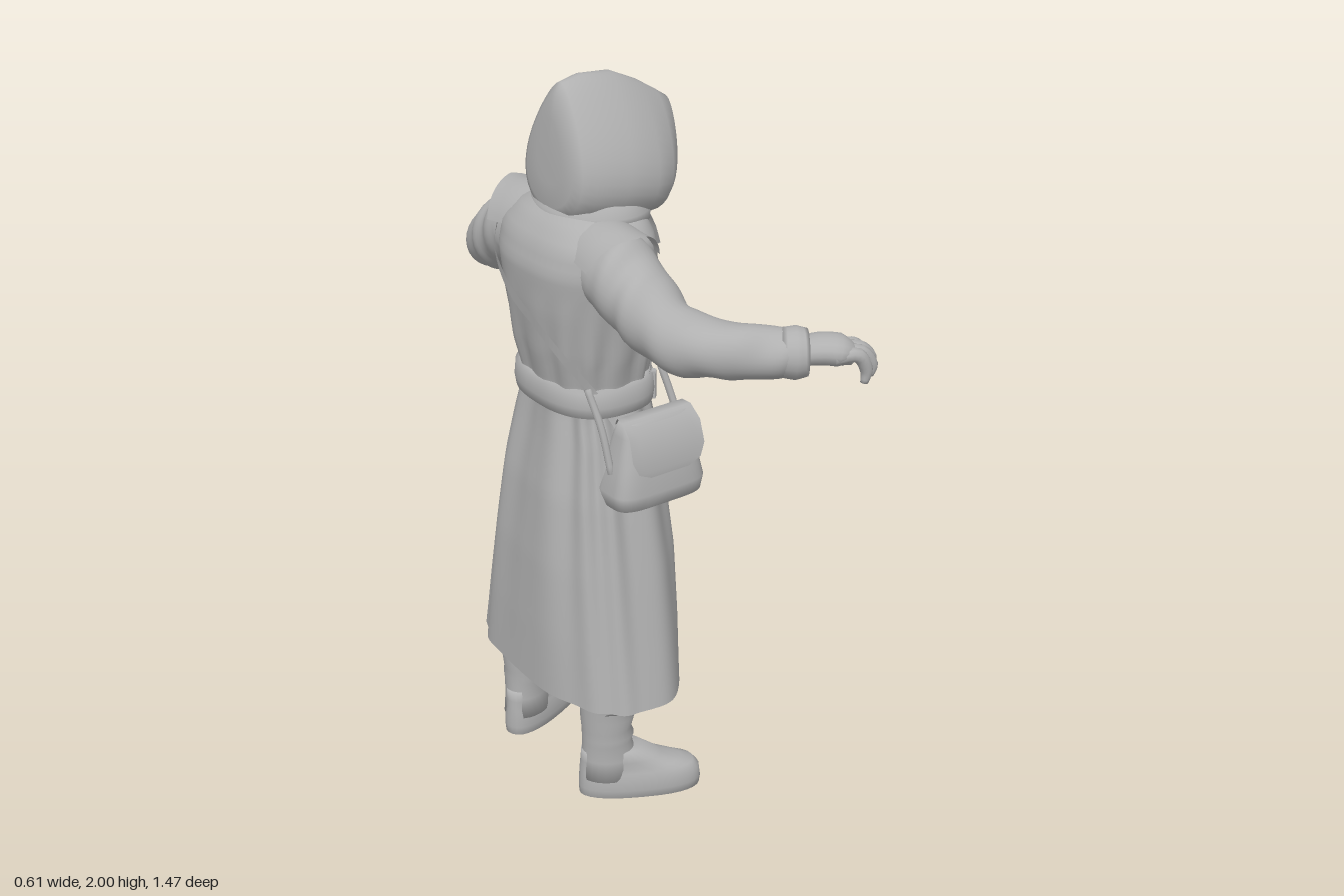
import * as THREE from 'three';

const cloth = new THREE.MeshStandardMaterial({ color: 0xb0b0b0, side: THREE.DoubleSide });
cloth.name = 'plain grey';
const TAU = Math.PI * 2;
const V = (p) => new THREE.Vector3(...p);
const lerp = THREE.MathUtils.lerp;

// Skin a list of rings (equal length lists of points) into a smooth surface
function loft(name, rings, closed = true, caps = closed) {
  const n = rings[0].length, pos = rings.flat(2), idx = [];
  const m = closed ? n : n - 1;
  for (let i = 0; i < rings.length - 1; i++) for (let j = 0; j < m; j++) {
    const a = i * n + j, b = i * n + (j + 1) % n;
    idx.push(a, a + n, b, b, a + n, b + n);
  }
  if (caps) [[0, 1], [rings.length - 1, -1]].forEach(([r, s]) => {
    const c = pos.length / 3, o = r * n;
    for (let k = 0; k < 3; k++) pos.push(rings[r].reduce((t, p) => t + p[k], 0) / n);
    for (let j = 0; j < n; j++) {
      const a = o + j, b = o + (j + 1) % n;
      s > 0 ? idx.push(c, a, b) : idx.push(c, b, a);
    }
  });
  const g = new THREE.BufferGeometry();
  g.setAttribute('position', new THREE.Float32BufferAttribute(pos, 3));
  g.setIndex(idx);
  g.computeVertexNormals();
  return named(name, g);
}
function named(name, g) {
  const mesh = new THREE.Mesh(g, cloth);
  mesh.name = name;
  return mesh;
}

// Interpolate rows of a table by its first column
function sample(table, y) {
  let i = 0;
  while (i < table.length - 2 && y > table[i + 1][0]) i++;
  const a = table[i], b = table[i + 1];
  const t = THREE.MathUtils.clamp((y - a[0]) / (b[0] - a[0]), 0, 1);
  return a.map((v, k) => lerp(v, b[k], t));
}

// Coat outline: height, back x, front x, half width
const coat = [
  [0.32, -0.3, 0.092, 0.348], [0.5, -0.295, 0.1, 0.315], [0.7, -0.285, 0.1, 0.28],
  [0.9, -0.265, 0.08, 0.243], [1.05, -0.24, 0.06, 0.208], [1.13, -0.23, 0.05, 0.182],
  [1.2, -0.23, 0.05, 0.175], [1.3, -0.252, 0.064, 0.193], [1.42, -0.27, 0.07, 0.21],
  [1.53, -0.278, 0.062, 0.228], [1.6, -0.258, 0.05, 0.23], [1.65, -0.22, 0.035, 0.18],
  [1.69, -0.16, 0.02, 0.1],
];
const sp = (v, e) => Math.sign(v) * Math.abs(v) ** e;
function surf(y, a, off = 0) {
  const [, x0, x1, hz] = sample(coat, y), e = 0.8;
  return [(x0 + x1) / 2 + ((x1 - x0) / 2 + off) * sp(Math.cos(a), e), y, (hz + off) * sp(Math.sin(a), e)];
}
const angleAt = (y, z) => Math.asin(THREE.MathUtils.clamp(sp(z / sample(coat, y)[3], 1.25), -1, 1));
const ring = (fn, n = 48) => Array.from({ length: n }, (_, j) => fn(j / n * TAU));

// Cloth plate lying on the coat front between two polylines of [z, y]
function plate(name, A, B, off = 0.012, n = 8) {
  const at = (L, t) => {
    const f = t * (L.length - 1), i = Math.min(Math.floor(f), L.length - 2);
    return [0, 1].map((k) => lerp(L[i][k], L[i + 1][k], f - i));
  };
  const rows = Array.from({ length: 17 }, (_, i) => Array.from({ length: n + 1 }, (_, j) => {
    const a = at(A, i / 16), b = at(B, i / 16);
    const z = lerp(a[0], b[0], j / n), y = lerp(a[1], b[1], j / n);
    return surf(y, angleAt(y, z), off);
  }));
  return loft(name, rows, false);
}

// Tube through [x, y, z, radius] points
function limb(name, pts, steps = 24, sides = 16, wrinkle = 0, flat = 1) {
  const curve = new THREE.CatmullRomCurve3(pts.map((p) => V(p.slice(0, 3))));
  const rings = Array.from({ length: steps + 1 }, (_, i) => {
    const t = i / steps, f = t * (pts.length - 1), k = Math.min(Math.floor(f), pts.length - 2);
    const c = curve.getPoint(t), d = curve.getTangent(t);
    const u = V(Math.abs(d.y) > 0.9 ? [1, 0, 0] : [0, 1, 0]).addScaledVector(d, Math.abs(d.y) > 0.9 ? -d.x : -d.y).normalize();
    const v = u.clone().cross(d);
    return ring((a) => {
      const fold = Math.sin(t * 38 + 2.5 * Math.sin(a + t * 5)) * (0.6 + 0.4 * Math.sin(2 * a + t * 13));
      const r = lerp(pts[k][3], pts[k + 1][3], f - k) * (1 + wrinkle * fold);
      return c.clone().addScaledVector(u, r * flat * Math.cos(a)).addScaledVector(v, r * Math.sin(a)).toArray();
    }, sides);
  });
  return loft(name, rings);
}

// Stack of horizontal ovals: [y, x0, x1, half width]
const ovals = (name, rows, n = 24) => loft(name, rows.map(([y, x0, x1, w]) =>
  ring((a) => [(x0 + x1) / 2 + (x1 - x0) / 2 * Math.cos(a), y, w * Math.sin(a)], n)));

function buildCoat(g) {
  // Bodice with soft gathers
  const rows = [];
  for (let i = 0; i <= 28; i++) {
    const y = 1.14 + 0.55 * i / 28;
    const k = 0.007 * Math.max(0, 1 - Math.abs(y - 1.28) / 0.2);
    rows.push(ring((a) => surf(y, a, k * Math.sin(a * 13 + Math.sin(y * 9))), 72));
  }
  g.add(loft('coatBody', rows));
  // Skirt, split at the front
  const skirt = [];
  for (let i = 0; i <= 32; i++) {
    const y = lerp(0.32, 1.16, i / 32), t = Math.max(0, (0.92 - y) / 0.6);
    const aL = angleAt(y, 0.05 + 0.05 * t), aR = angleAt(y, 0.05 - 0.11 * t);
    skirt.push(Array.from({ length: 121 }, (_, j) => {
      const s = j / 120, a = aL + (TAU - aL + aR) * s;
      const fold = Math.sin(a * 11 + 1.5 * Math.sin(a * 3)) * lerp(0.009, 0.004, t);
      const p = surf(y, a, fold - 0.003);
      p[1] -= 0.045 * Math.max(0, 1 - i / 8) * Math.max(0, 1 - Math.min(s, 1 - s) * 9);
      return p;
    }));
  }
  g.add(loft('coatSkirt', skirt, false));
  // Belt with buckle and loops
  g.add(loft('belt', [[1.135, 0], [1.137, 0.014], [1.165, 0.019], [1.205, 0.016], [1.21, 0]].map(([y, o]) => ring((a) => surf(y, a, o)))));
  const buckle = named('buckle', new THREE.TorusGeometry(0.03, 0.006, 6, 4).rotateZ(Math.PI / 4).rotateY(Math.PI / 2));
  buckle.position.set(0.07, 1.17, 0);
  g.add(buckle);
  for (const a of [0.75, -0.75, -1.2]) {
    const loop = named('beltLoop', new THREE.BoxGeometry(0.012, 0.078, 0.02));
    loop.position.set(...surf(1.17, a, 0.017));
    loop.rotation.y = -a;
    g.add(loop);
  }
  // Overlapping front edge, lapels and collar
  g.add(plate('coatOverlap', [[-0.1, 1.53], [-0.02, 1.38], [0.1, 1.2]], [[0.02, 1.6], [0.08, 1.4], [0.15, 1.2]], 0.008));
  g.add(plate('frontFacing', [[0.1, 1.14], [0.06, 0.92], [0.1, 0.29]], [[0.14, 1.14], [0.12, 0.92], [0.165, 0.3]], 0.008));
  g.add(plate('rightLapel', [[-0.03, 1.64], [-0.02, 1.52], [0.02, 1.36]], [[-0.09, 1.64], [-0.13, 1.52], [0.0, 1.36]], 0.015));
  g.add(plate('leftLapel', [[0.03, 1.64], [0.015, 1.57], [-0.01, 1.49]], [[0.09, 1.64], [0.13, 1.56], [0.0, 1.48]], 0.015));
  // Strap across the back
  const edges = [-0.018, 0.018].map((d) => Array.from({ length: 25 }, (_, i) => {
    const t = i / 24;
    return surf(lerp(1.12, 1.62, t ** 0.85) + d, lerp(1.75, TAU - 1.95, t), 0.012);
  }));
  g.add(loft('backStrap', edges, false));
}

function buildHead(g) {
  // Hood rings from back to front rim, then into the opening
  const rows = [[-0.185, -0.198, 1.9, 1.73, 0.05], [-0.175, -0.2, 1.96, 1.67, 0.095], [-0.155, -0.19, 1.988, 1.645, 0.12],
    [-0.1, -0.16, 2, 1.63, 0.14], [-0.01, -0.09, 1.992, 1.62, 0.16], [0.07, 0, 1.955, 1.612, 0.161],
    [0.13, 0.06, 1.918, 1.612, 0.138], [0.167, 0.09, 1.893, 1.62, 0.108], [0.158, 0.085, 1.878, 1.633, 0.095], [0.03, 0.03, 1.85, 1.66, 0.08]];
  g.add(loft('hood', rows.map(([xt, xb, yt, yb, w]) => ring((a) => {
    const c = Math.cos(a), t = (c + 1) / 2;
    return [lerp(xb, xt, t), lerp(yb, yt, t), -w * 1.04 * Math.sin(a) * (1 - 0.36 * c) * (1 - t) ** 0.08];
  }, 40))));
  // Pointed beak mask with round eye rims
  g.add(ovals('beakMask', [[1.62, 0.106, 0.12, 0.005], [1.65, 0.08, 0.127, 0.022], [1.69, 0.04, 0.13, 0.045],
    [1.74, 0.02, 0.127, 0.068], [1.8, 0.01, 0.115, 0.076], [1.84, 0.01, 0.108, 0.058], [1.87, 0.02, 0.1, 0.025]]));
  for (const s of [-1, 1]) {
    const eye = named('eyeRim', new THREE.TorusGeometry(0.018, 0.003, 8, 20).rotateY(Math.PI / 2));
    eye.position.set(0.107, 1.79, s * 0.036);
    eye.rotation.set(0, -s * 0.5, 0.1);
    g.add(eye);
  }
  // Draped cowl, falling to a point at the throat
  g.add(loft('neckCowl', [[1.6, -0.2, 0.06, 0.12], [1.635, -0.215, 0.075, 0.172], [1.665, -0.205, 0.07, 0.178], [1.7, -0.18, 0.035, 0.15]].map(([y, x0, x1, w]) =>
    ring((a) => [(x0 + x1) / 2 + (x1 - x0) / 2 * Math.cos(a), y - 0.02 * Math.max(0, Math.cos(a)) ** 3, w * Math.sin(a)]))));
}

function buildSide(s) {
  const g = new THREE.Group();
  g.name = s > 0 ? 'leftSide' : 'rightSide';
  // Sleeve, cuff and hand
  g.add(limb('sleeve', [[-0.12, 1.56, 0.1, 0.09], [-0.125, 1.537, 0.21, 0.103], [-0.12, 1.487, 0.305, 0.094], [-0.09, 1.426, 0.41, 0.083],
    [0.005, 1.412, 0.52, 0.071], [0.09, 1.409, 0.585, 0.064], [0.14, 1.409, 0.62, 0.057]], 72, 28, 0.06));
  g.add(limb('cuff', [[0.09, 1.41, 0.586, 0.062], [0.12, 1.409, 0.607, 0.068], [0.145, 1.409, 0.623, 0.06]], 6, 20));
  g.add(limb('palm', [[0.125, 1.412, 0.612, 0.048], [0.165, 1.42, 0.64, 0.054], [0.205, 1.417, 0.668, 0.055], [0.235, 1.402, 0.684, 0.036]], 12, 16, 0, 0.72));
  [[0.29, 1.375, 0.655], [0.295, 1.36, 0.685], [0.28, 1.345, 0.708], [0.255, 1.335, 0.718]].forEach(([x, y, z], i) => {
    const bx = 0.222 - i * 0.01, bz = 0.648 + i * 0.018;
    g.add(limb('finger', [[bx - 0.02, 1.41, bz - 0.01, 0.017], [lerp(bx, x, 0.6), 1.412, lerp(bz, z, 0.6), 0.019], [x, (y + 1.4) / 2, z, 0.016], [x - 0.005, y, z, 0.01]], 12, 10));
  });
  g.add(limb('thumb', [[0.17, 1.4, 0.62, 0.022], [0.215, 1.385, 0.614, 0.02], [0.25, 1.362, 0.62, 0.015], [0.262, 1.35, 0.626, 0.009]], 10, 10));
  // Flared shoulder flap with a pointed edge
  const flap = [[0.1, 0.1, 1.56], [0.18, 0.115, 1.552], [0.24, 0.12, 1.54], [0.285, 0.125, 1.533]].map(([z, r, y]) =>
    Array.from({ length: 21 }, (_, j) => {
      const a = lerp(-1.25, 1.25, j / 20);
      return [-0.125 + r * 0.95 * Math.sin(a), y + r * Math.cos(a), z - 0.06 * Math.abs(a / 1.25)];
    }));
  g.add(loft('shoulderFlap', flap, false));
  // Leg and boot
  g.add(limb('trouserLeg', [[-0.12, 1.0, 0.09, 0.095], [-0.125, 0.65, 0.14, 0.095], [-0.14, 0.4, 0.185, 0.085], [-0.15, 0.27, 0.2, 0.07]], 14, 16));
  const boot = new THREE.Group();
  boot.name = 'boot';
  boot.add(ovals('bootShaft', [[0.06, -0.08, 0.08, 0.06], [0.12, -0.076, 0.074, 0.056], [0.17, -0.075, 0.062, 0.056], [0.19, -0.076, 0.068, 0.06],
    [0.21, -0.076, 0.06, 0.056], [0.25, -0.08, 0.07, 0.062], [0.27, -0.08, 0.064, 0.058], [0.31, -0.084, 0.076, 0.065], [0.36, -0.085, 0.08, 0.066]]));
  // Horizontal slices, broader towards the toe
  const slices = [[0, -0.075, 0.24, 0.056], [0.006, -0.084, 0.253, 0.066], [0.03, -0.085, 0.256, 0.069], [0.06, -0.084, 0.252, 0.067],
    [0.08, -0.083, 0.235, 0.06], [0.092, -0.082, 0.2, 0.056], [0.112, -0.08, 0.145, 0.053], [0.145, -0.077, 0.09, 0.05]];
  boot.add(loft('bootFoot', slices.map(([y, x0, x1, w]) => ring((a) => {
    const c = sp(Math.cos(a), 0.8);
    return [(x0 + x1) / 2 + (x1 - x0) / 2 * c, y, w * (0.97 + 0.08 * c) * sp(Math.sin(a), 0.85)];
  }, 32))));
  boot.position.set(-0.155, 0, 0.205);
  boot.rotation.y = -0.43;
  g.add(boot);
  g.scale.z = s;
  return g;
}

function buildSatchel(g) {
  // Rounded box section: half sizes in x and z
  const sec = (y, cx, cz, hx, hz) => ring((a) => [cx + hx * sp(Math.cos(a), 0.45), y, cz + hz * sp(Math.sin(a), 0.55)], 40);
  g.add(loft('satchelBag', [sec(0.9, -0.04, 0.235, 0.11, 0.045), sec(0.91, -0.042, 0.235, 0.135, 0.068), sec(0.95, -0.042, 0.235, 0.141, 0.075),
    sec(1.03, -0.038, 0.23, 0.122, 0.062), sec(1.1, -0.034, 0.23, 0.11, 0.045), sec(1.135, -0.032, 0.23, 0.103, 0.028)]));
  const flap = [[1.12, 0.2, 0.1], [1.143, 0.215, 0.104], [1.142, 0.245, 0.108], [1.11, 0.282, 0.112], [1.05, 0.3, 0.114], [1.015, 0.306, 0.098], [0.998, 0.306, 0.06]];
  g.add(loft('satchelFlap', flap.map(([y, z, w]) => Array.from({ length: 9 }, (_, j) => [-0.032 + w * (1 - j / 4), y, z])), false));
  g.add(limb('satchelStrapBack', [[-0.165, 1.0, 0.23, 0.01], [-0.175, 1.12, 0.2, 0.01], [-0.19, 1.22, 0.16, 0.01]], 12, 8));
  g.add(limb('satchelStrapFront', [[0.085, 1.0, 0.21, 0.01], [0.07, 1.12, 0.18, 0.01], [0.05, 1.22, 0.15, 0.01]], 12, 8));
}

export function createModel() {
  const model = new THREE.Group();
  model.name = 'hoodedFigure';
  for (const [name, build] of [['coat', buildCoat], ['head', buildHead], ['satchel', buildSatchel]]) {
    const g = new THREE.Group();
    g.name = name;
    build(g);
    model.add(g);
  }
  model.add(buildSide(1), buildSide(-1));
  return model;
}
